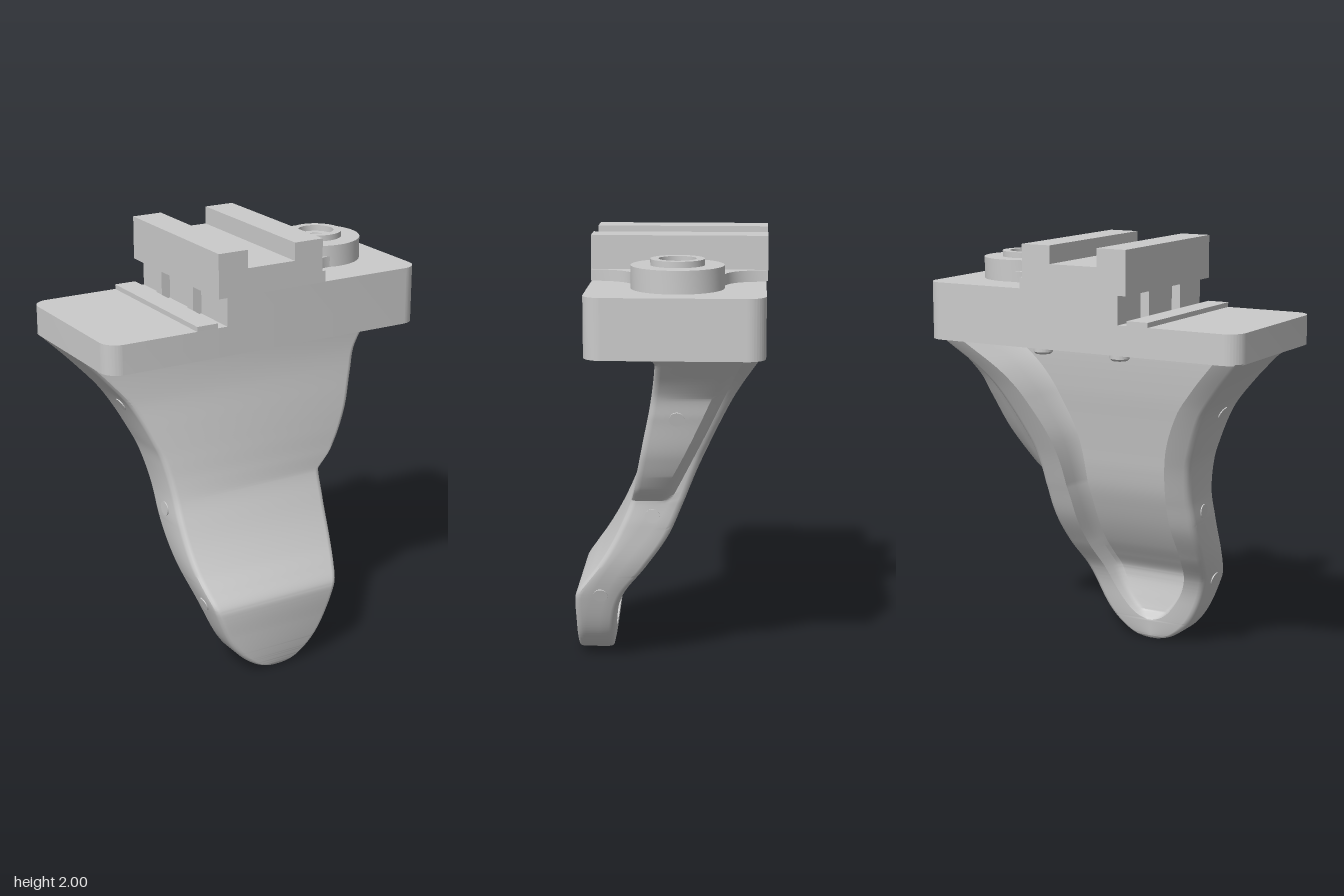
import * as THREE from 'three';
import { toCreasedNormals } from 'three/addons/utils/BufferGeometryUtils.js';

const grey = new THREE.MeshStandardMaterial({ color: 0xcbcbcb });
grey.name = 'grey';

function add(parent, name, geometry, x = 0, y = 0, z = 0) {
  const mesh = new THREE.Mesh(geometry, grey);
  mesh.name = name;
  mesh.position.set(x, y, z);
  parent.add(mesh);
  return mesh;
}

// Box given by its limits
function addBox(parent, name, x0, x1, y0, y1, z0, z1) {
  return add(parent, name, new THREE.BoxGeometry(x1 - x0, y1 - y0, z1 - z0),
    (x0 + x1) / 2, (y0 + y1) / 2, (z0 + z1) / 2);
}

// Plan outline (shape y = -z) raised from y0 to y1
function addSlab(parent, name, shape, y0, y1) {
  const g = new THREE.ExtrudeGeometry(shape, { depth: y1 - y0, bevelEnabled: false, curveSegments: 14 });
  g.rotateX(-Math.PI / 2);
  return add(parent, name, toCreasedNormals(g, 0.5), 0, y0, 0);
}

// Plate plan, square at xIn and with rounded corners at xOut
function platePlan(xIn, xOut, r = 0.08) {
  const s = Math.sign(xOut), b = -0.343, t = 0.43;
  const p = new THREE.Shape();
  p.moveTo(xIn, b);
  p.lineTo(xOut - s * r, b);
  p.absarc(xOut - s * r, b + r, r, -Math.PI / 2, s > 0 ? 0 : -Math.PI, s < 0);
  p.lineTo(xOut, t - r);
  p.absarc(xOut - s * r, t - r, r, s > 0 ? 0 : Math.PI, Math.PI / 2, s < 0);
  p.lineTo(xIn, t);
  return p;
}

// Smooth interpolation through [y, value] pairs, parametrised by sqrt(y)
function sample(table, y) {
  const k = table.map(([a, v]) => [Math.sqrt(a), v]), n = k.length, s = Math.sqrt(y);
  if (s <= k[0][0]) return k[0][1];
  if (s >= k[n - 1][0]) return k[n - 1][1];
  let i = 0;
  while (s > k[i + 1][0]) i++;
  const slope = (j) => {
    const a = k[Math.max(j - 1, 0)], b = k[Math.min(j + 1, n - 1)];
    return (b[1] - a[1]) / (b[0] - a[0]);
  };
  const h = k[i + 1][0] - k[i][0], t = (s - k[i][0]) / h, u = 1 - t;
  return k[i][1] * (1 + 2 * t) * u * u + slope(i) * h * t * u * u
    + k[i + 1][1] * t * t * (3 - 2 * t) - slope(i + 1) * h * t * t * u;
}

// Blade tables against height
const HALF = [[0, 0], [0.01, 0.068], [0.03, 0.118], [0.13, 0.228], [0.3, 0.31], [0.5, 0.37], [0.7, 0.39], [0.83, 0.396],
  [0.95, 0.416], [1.05, 0.446], [1.26, 0.55], [1.4, 0.665], [1.54, 0.8]];
const BULGE = [[0.82, 0], [0.9, 0.075], [1.05, 0.12], [1.25, 0.085], [1.37, 0.03], [1.54, 0]];
const DENT = [[0.82, 0], [1.05, 0.025], [1.25, 0.045], [1.4, 0.075], [1.54, 0.06]];
const FRONT = [[0, 0.435], [0.2, 0.435], [0.32, 0.435], [0.36, 0.425], [0.42, 0.383], [0.5, 0.325], [0.6, 0.265],
  [0.7, 0.216], [0.8, 0.175], [0.9, 0.148], [1, 0.128], [1.15, 0.098], [1.3, 0.068], [1.5, 0.04], [1.525, 0.046], [1.54, 0.08]];
const BACK = [[0, 0.28], [0.2, 0.25], [0.35, 0.21], [0.5, 0.1], [0.65, 0], [0.8, -0.065], [1, -0.145],
  [1.3, -0.28], [1.54, -0.41]];
const STEP = [[0, 0.36], [0.35, 0.32], [0.82, 0.02], [1.54, -0.31]];
const POCKET = [[0.1, 0], [0.12, 0.06], [0.17, 0.12], [0.3, 0.2], [0.5, 0.25], [0.8, 0.265], [1.05, 0.315],
  [1.26, 0.42], [1.4, 0.54], [1.54, 0.68]];

// Half width of the front face on either side
const halfWidth = (y, side) => sample(HALF, y) + (side > 0 ? Math.max(0, sample(BULGE, y)) : 0);

// One U-shaped cross-section of the blade
function bladeRing(y) {
  const xl = halfWidth(y, -1), xr = halfWidth(y, 1), dent = Math.max(0, sample(DENT, y)), xm = xl - dent;
  const tip = 0.022 * (1 - Math.sqrt(1 - (1 - Math.min(y / 0.022, 1)) ** 2));
  const zf = sample(FRONT, y) - tip, zb = sample(BACK, y) + tip, zm = sample(STEP, y);
  const xi = Math.max(0, sample(POCKET, y)), c = Math.min(0.03, xl * 0.5);
  const open = THREE.MathUtils.smoothstep(y, 0.1, 0.14);
  const depth = (zf - 0.13 + 0.02 * y - zb) * open, zfl = zb + depth, r = Math.min(0.04, xi * 0.4);
  const pts = [];
  const corner = (cx, cz, from) => {
    for (let i = 0; i < 4; i++) {
      const a = from - i * Math.PI / 6;
      pts.push([cx + c * Math.cos(a), cz + c * Math.sin(a)]);
    }
  };
  corner(-xl + c, zf - c, Math.PI);
  corner(xr - c, zf - c, Math.PI / 2);
  const d = xr - xm;
  pts.push([xr, zm + 0.03], [xr - d * 0.15, zm + 0.01], [xr - d * 0.6, zm - 0.01], [xm, zm - 0.03]);
  corner(xm - c, zb + c, 0);
  const wall = [[xi, zb], [xi - r * 0.25, zb + depth * 0.5], [xi - r * 0.55, zb + depth * 0.85], [xi - r, zfl]];
  pts.push(...wall.map(([x, z]) => [x - dent, z]), ...wall.map(([x, z]) => [-x, z]).reverse());
  corner(-xl + c, zb + c, -Math.PI / 2);
  return pts;
}

function bladeGeometry(rows = 200) {
  const pos = [], index = [];
  let n = 0;
  for (let j = 0; j <= rows; j++) {
    const y = 1.54 * (j / rows) ** 2, ring = bladeRing(y);
    n = ring.length;
    ring.forEach(([x, z]) => pos.push(x, y, z));
  }
  for (let j = 0; j < rows; j++) {
    for (let i = 0; i < n; i++) {
      const a = j * n + i, b = j * n + (i + 1) % n;
      index.push(a, b, b + n, a, b + n, a + n);
    }
  }
  const g = new THREE.BufferGeometry();
  g.setAttribute('position', new THREE.Float32BufferAttribute(pos, 3));
  g.setIndex(index);
  return toCreasedNormals(g, 0.62);
}

function lathe(points) {
  return toCreasedNormals(new THREE.LatheGeometry(points.map(([r, y]) => new THREE.Vector2(r, y)), 48), 0.5);
}

export function createModel() {
  const model = new THREE.Group();
  model.name = 'railMount';

  // Curved hollow blade
  add(model, 'blade', bladeGeometry());

  // Hole faces along both edges of the blade
  for (const [y, z] of [[0.35, 0.315], [0.75, 0.07], [1.25, -0.05]]) {
    for (const side of [-1, 1]) {
      const slope = (halfWidth(y + 0.03, side) - halfWidth(y - 0.03, side)) / 0.06;
      const hole = add(model, 'edgeHole', new THREE.CylinderGeometry(0.033, 0.033, 0.0095, 24),
        side * halfWidth(y, side), y, z);
      hole.quaternion.setFromUnitVectors(new THREE.Vector3(0, 1, 0), new THREE.Vector3(side, -slope, 0).normalize());
    }
  }

  // Stepped base plate
  addSlab(model, 'lowPlate', platePlan(-0.22, -0.8), 1.535, 1.67);
  addSlab(model, 'highPlate', platePlan(-0.22, 0.8), 1.535, 1.8);
  addBox(model, 'plateRidge', -0.37, -0.266, 1.66, 1.692, -0.43, 0.343);

  // Grooved rail with tabs under its overhang
  const rail = new THREE.Shape();
  [[-0.265, 1.8], [0.265, 1.8], [0.265, 2], [0.12, 2], [0.12, 1.918], [-0.12, 1.918], [-0.12, 2], [-0.265, 2]]
    .forEach(([x, y], i) => (i ? rail.lineTo(x, y) : rail.moveTo(x, y)));
  add(model, 'rail', new THREE.ExtrudeGeometry(rail, { depth: 0.785, bevelEnabled: false }), 0, 0, -0.438);
  for (const z of [-0.2, 0.09]) addBox(model, 'railTab', -0.262, -0.21, 1.66, 1.8, z - 0.025, z + 0.025);

  // Clamp plate flaring into the round boss
  const clamp = new THREE.Shape();
  clamp.moveTo(0.26, -0.343);
  clamp.lineTo(0.285, -0.343);
  clamp.bezierCurveTo(0.285, -0.22, 0.35, -0.14, 0.45, -0.15);
  clamp.lineTo(0.48, 0.045);
  clamp.lineTo(0.45, 0.245);
  clamp.bezierCurveTo(0.35, 0.25, 0.285, 0.31, 0.285, 0.43);
  clamp.lineTo(0.26, 0.43);
  addSlab(model, 'clampPlate', clamp, 1.8, 1.85);
  add(model, 'clampBoss', lathe([[0.203, 0], [0.203, 0.1], [0.118, 0.1], [0.118, 0.127], [0.082, 0.127],
    [0.082, 0.1], [0.045, 0.1], [0.045, 0.07], [0, 0.07]]), 0.487, 1.8, -0.047);

  // Screw ends under the plate
  for (const x of [-0.18, 0.22]) {
    add(model, 'screwEnd', lathe([[0, -0.01], [0.022, -0.01], [0.022, -0.03], [0.035, -0.03], [0.045, -0.02], [0.045, 0.01]]),
      x, 1.53, -0.34);
  }
  return model;
}
